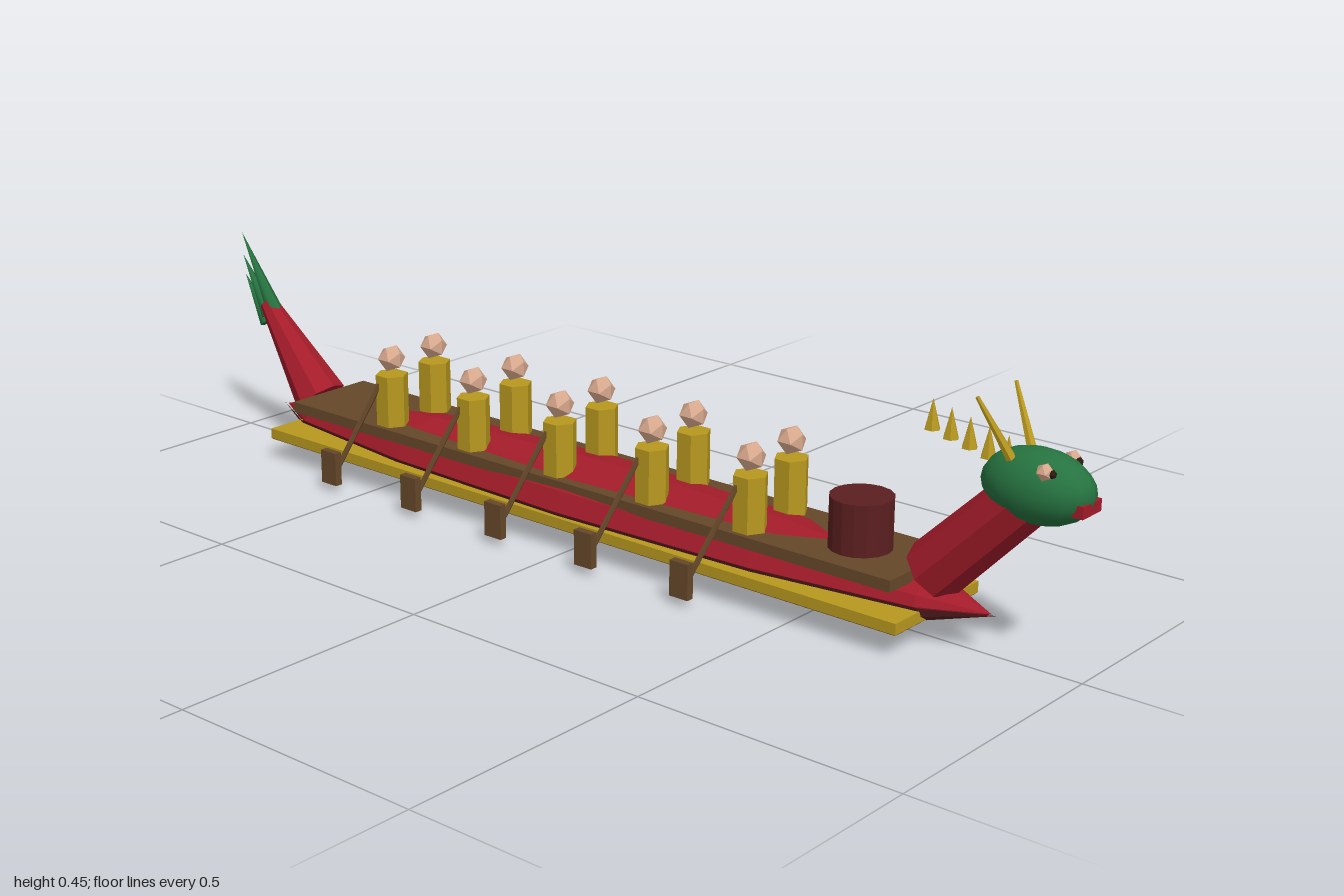
import * as THREE from 'three';

const mat = (name, color, flat = true) => {
  const m = new THREE.MeshStandardMaterial({ color, flatShading: flat });
  m.name = name;
  return m;
};

export function createModel() {
  const red = mat('crimson', 0xa41c2a);
  const gold = mat('gold', 0xb8981f);
  const wood = mat('wood', 0x664829);
  const green = mat('green', 0x267340, false);
  const darkRed = mat('darkRed', 0x5c1f20);
  const skin = mat('skin', 0xd8a98e);
  const dark = mat('pupil', 0x2a1a14);

  const boat = new THREE.Group();
  boat.name = 'rowingBoat';

  const add = (name, geo, material, x = 0, y = 0, z = 0, parent = boat) => {
    const m = new THREE.Mesh(geo, material);
    m.name = name;
    m.position.set(x, y, z);
    parent.add(m);
    return m;
  };
  // tapered rod between two points
  const rod = (name, a, b, rA, rB, sides, material, parent = boat) => {
    const p = new THREE.Vector3(...a), q = new THREE.Vector3(...b);
    const d = q.clone().sub(p);
    const m = add(name, new THREE.CylinderGeometry(rB, rA, d.length(), sides), material, 0, 0, 0, parent);
    m.position.copy(p).add(q).multiplyScalar(0.5);
    m.quaternion.setFromUnitVectors(new THREE.Vector3(0, 1, 0), d.normalize());
    return m;
  };

  // hull: faceted spindle with its poles at bow and stern
  const hull = new THREE.SphereGeometry(1, 12, 6);
  hull.rotateX(Math.PI / 2).scale(0.115, 0.071, 0.852);
  add('hull', hull, red, 0, 0.0735, -0.024);
  // dark lower skin, leaving a crimson leaf along the keel
  const skinHull = new THREE.SphereGeometry(1, 6, 6, 0, Math.PI);
  skinHull.rotateX(Math.PI / 2).scale(0.117, 0.0698, 0.862);
  add('lowerHull', skinHull, darkRed, 0, 0.0735, -0.024);
  add('gunwale', new THREE.BoxGeometry(0.245, 0.02, 1.515), gold, 0, 0.057, -0.033);
  add('gunwaleUnderside', new THREE.BoxGeometry(0.243, 0.002, 1.513), wood, 0, 0.0465, -0.033);
  add('deck', new THREE.BoxGeometry(0.19, 0.021, 1.442), wood, 0, 0.1145, -0.029);
  add('drum', new THREE.CylinderGeometry(0.056, 0.056, 0.095, 16), darkRed, 0, 0.17, 0.566);

  // neck and head
  rod('neck', [0, 0.12, 0.712], [0, 0.295, 0.885], 0.055, 0.05, 8, red);
  const head = new THREE.Group();
  head.name = 'head';
  boat.add(head);
  add('skull', new THREE.SphereGeometry(1, 16, 12).scale(0.061, 0.0625, 0.1), green, 0, 0.313, 0.9, head);
  add('mouth', new THREE.BoxGeometry(0.056, 0.021, 0.036), red, 0, 0.297, 0.979, head);
  for (const s of [-1, 1]) {
    add('eye', new THREE.IcosahedronGeometry(0.015), skin, s * 0.042, 0.354, 0.934, head);
    add('pupil', new THREE.IcosahedronGeometry(0.008), dark, s * 0.04, 0.353, 0.946, head);
    rod('horn', [s * 0.03, 0.355, 0.868], [s * 0.057, 0.455, 0.815], 0.009, 0.0035, 6, gold, head);
  }
  for (let i = 0; i < 6; i++) {
    add('maneSpike', new THREE.ConeGeometry(0.014, 0.053, 6), gold, 0, 0.389 - 0.008 * i, 0.698 + 0.036 * i, head);
  }

  // tail with three green fins
  rod('tail', [0, 0.105, -0.775], [0, 0.28, -0.925], 0.053, 0.018, 8, red);
  const fins = [
    [[0, 0.265, -0.905], [0, 0.417, -0.998]],
    [[0, 0.255, -0.922], [0, 0.37, -0.997]],
    [[0, 0.238, -0.928], [0, 0.33, -0.992]],
  ];
  for (const [a, b] of fins) rod('tailFin', a, b, 0.017, 0, 6, green);

  // five pairs of rowers, each with a paddle
  const body = new THREE.CylinderGeometry(0.032, 0.032, 0.116, 6);
  const face = new THREE.IcosahedronGeometry(0.027);
  const blade = new THREE.BoxGeometry(0.015, 0.066, 0.04);
  for (let i = 0; i < 5; i++) {
    for (const s of [-1, 1]) {
      const rower = new THREE.Group();
      rower.name = 'rower';
      rower.position.z = 0.375 - 0.2195 * i;
      boat.add(rower);
      add('body', body, gold, s * 0.058, 0.168, 0, rower);
      add('rowerHead', face, skin, s * 0.057, 0.257, 0, rower);
      rod('paddleShaft', [s * 0.077, 0.217, -0.008], [s * 0.162, 0.035, -0.058], 0.0055, 0.0055, 6, wood, rower);
      add('paddleBlade', blade, wood, s * 0.169, 0.05, -0.06, rower);
    }
  }
  return boat;
}
